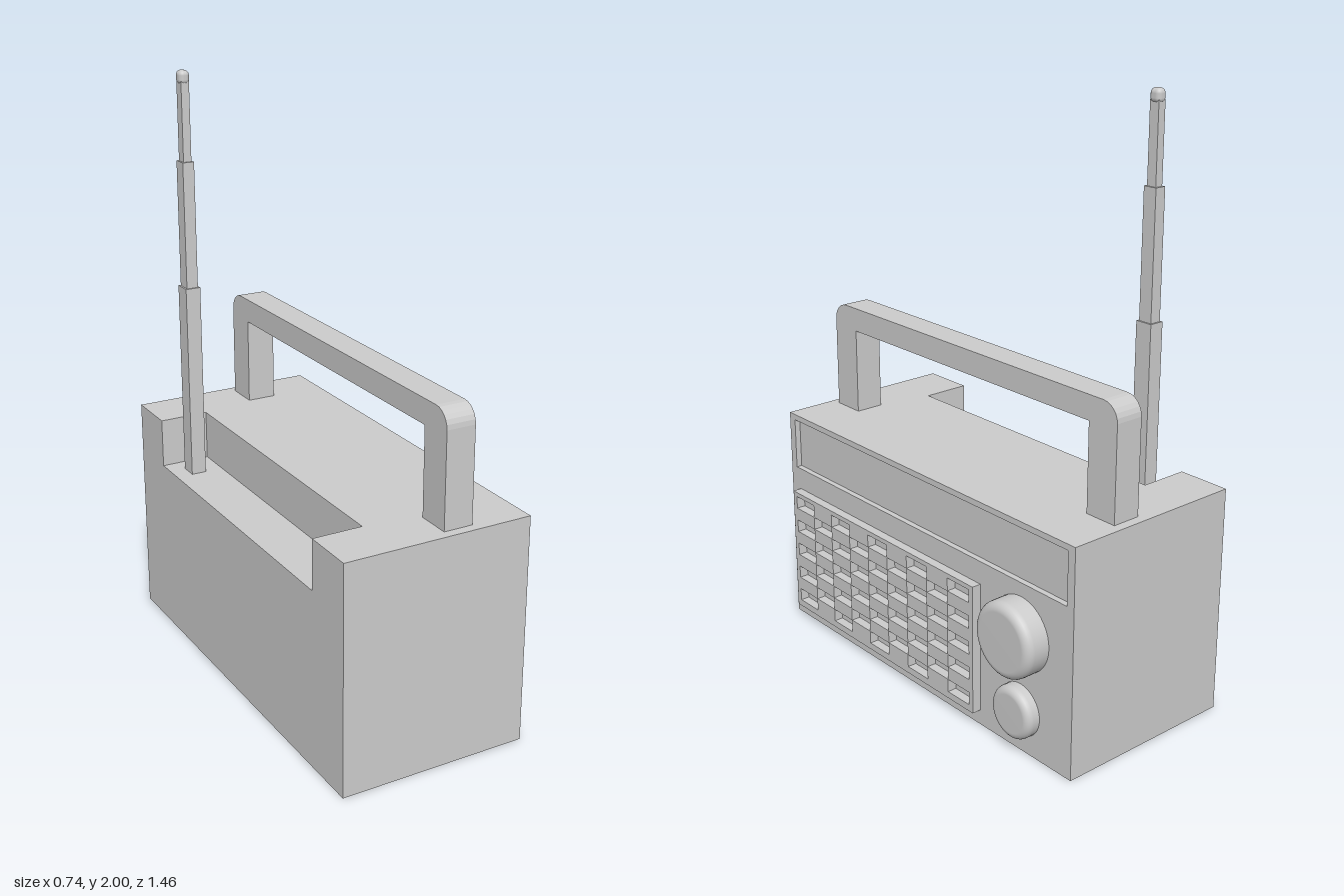
import * as THREE from 'three';
import { RoundedBoxGeometry } from 'three/addons/geometries/RoundedBoxGeometry.js';

const material = new THREE.MeshStandardMaterial({ color: 0xcccccc });

function add(parent, name, geometry) {
  const mesh = new THREE.Mesh(geometry, material);
  mesh.name = name;
  parent.add(mesh);
  return mesh;
}

// Box given by its limits on each axis
function box(parent, name, [x0, x1], [y0, y1], [z0, z1]) {
  const mesh = add(parent, name, new THREE.BoxGeometry(x1 - x0, y1 - y0, z1 - z0));
  mesh.position.set((x0 + x1) / 2, (y0 + y1) / 2, (z0 + z1) / 2);
  return mesh;
}

// Rectangle centred on (u, v)
function rect(Type, u, v, w, h) {
  const r = new Type();
  r.moveTo(u - w / 2, v - h / 2);
  r.lineTo(u + w / 2, v - h / 2);
  r.lineTo(u + w / 2, v + h / 2);
  r.lineTo(u - w / 2, v + h / 2);
  r.closePath();
  return r;
}

// Extrudes a shape drawn in (-z, y) along x, from x0 to x1
function slab(parent, name, shape, x0, x1, curveSegments = 4) {
  const geometry = new THREE.ExtrudeGeometry(shape, { depth: x1 - x0, bevelEnabled: false, curveSegments });
  geometry.rotateY(Math.PI / 2);
  geometry.translate(x0, 0, 0);
  return add(parent, name, geometry);
}

// Round control on the face, with a softened rim
function knob(parent, name, y, z, radius, depth, rim) {
  const points = [new THREE.Vector2(radius, 0)];
  for (let i = 0; i <= 6; i++) {
    const a = (i / 6) * Math.PI / 2;
    points.push(new THREE.Vector2(radius - rim + rim * Math.cos(a), depth - rim + rim * Math.sin(a)));
  }
  points.push(new THREE.Vector2(0, depth));
  const geometry = new THREE.LatheGeometry(points, 40);
  geometry.rotateZ(-Math.PI / 2);
  add(parent, name, geometry).position.set(0.28, y, z);
}

export function createModel() {
  const radio = new THREE.Group();
  radio.name = 'portableRadio';

  // Case with a recess at the top of its back
  const body = new THREE.Group();
  body.name = 'case';
  radio.add(body);
  box(body, 'mainBlock', [-0.2, 0.26], [0, 0.78], [-0.73, 0.73]);
  box(body, 'backBlock', [-0.37, -0.2], [0, 0.61], [-0.73, 0.73]);
  for (const [name, s] of [['leftBackCorner', 1], ['rightBackCorner', -1]]) {
    box(body, name, [-0.37, -0.2], [0.61, 0.78], s > 0 ? [0.545, 0.73] : [-0.73, -0.545]);
  }

  // Face with a sunken dial window
  const face = rect(THREE.Shape, 0, 0.39, 1.46, 0.78);
  face.holes.push(rect(THREE.Path, 0, 0.67, 1.4, 0.18));
  slab(body, 'face', face, 0.26, 0.28);

  // Speaker grille: chequered openings in a raised panel
  const grille = rect(THREE.Shape, -0.185, 0.277, 0.99, 0.45);
  for (let col = 0; col < 9; col++) {
    for (let row = col % 2; row < 9; row += 2) {
      grille.holes.push(rect(THREE.Path, -0.608 + col * 0.1058, 0.098 + row * 0.0457, 0.105, 0.045));
    }
  }
  slab(radio, 'speakerGrille', grille, 0.28, 0.312);

  // Controls
  knob(radio, 'tuningKnob', 0.408, -0.5, 0.126, 0.085, 0.03);
  knob(radio, 'volumeKnob', 0.145, -0.5, 0.089, 0.048, 0.025);

  // Carrying handle: rounded outside, square inside
  const handle = new THREE.Shape();
  handle.moveTo(-0.697, 0.78);
  handle.lineTo(-0.58, 0.78);
  handle.lineTo(-0.58, 1.078);
  handle.lineTo(0.58, 1.078);
  handle.lineTo(0.58, 0.78);
  handle.lineTo(0.697, 0.78);
  handle.lineTo(0.697, 1.1);
  handle.absarc(0.637, 1.1, 0.06, 0, Math.PI / 2, false);
  handle.lineTo(-0.637, 1.16);
  handle.absarc(-0.637, 1.1, 0.06, Math.PI / 2, Math.PI, false);
  handle.closePath();
  slab(radio, 'handle', handle, -0.01, 0.09, 3);

  // Telescopic antenna standing in the back recess
  const antenna = new THREE.Group();
  antenna.name = 'antenna';
  antenna.position.set(-0.288, 0, -0.455);
  radio.add(antenna);
  const sections = [
    ['lowerSection', 0.61, 1.28, 0.052, 0.062],
    ['middleSection', 1.28, 1.705, 0.04, 0.05],
    ['upperSection', 1.705, 1.965, 0.028, 0.036],
  ];
  for (const [name, y0, y1, w, d] of sections) {
    box(antenna, name, [-w / 2, w / 2], [y0, y1], [-d / 2, d / 2]);
  }
  add(antenna, 'antennaTip', new RoundedBoxGeometry(0.037, 0.046, 0.043, 4, 0.016)).position.y = 1.977;

  return radio;
}
